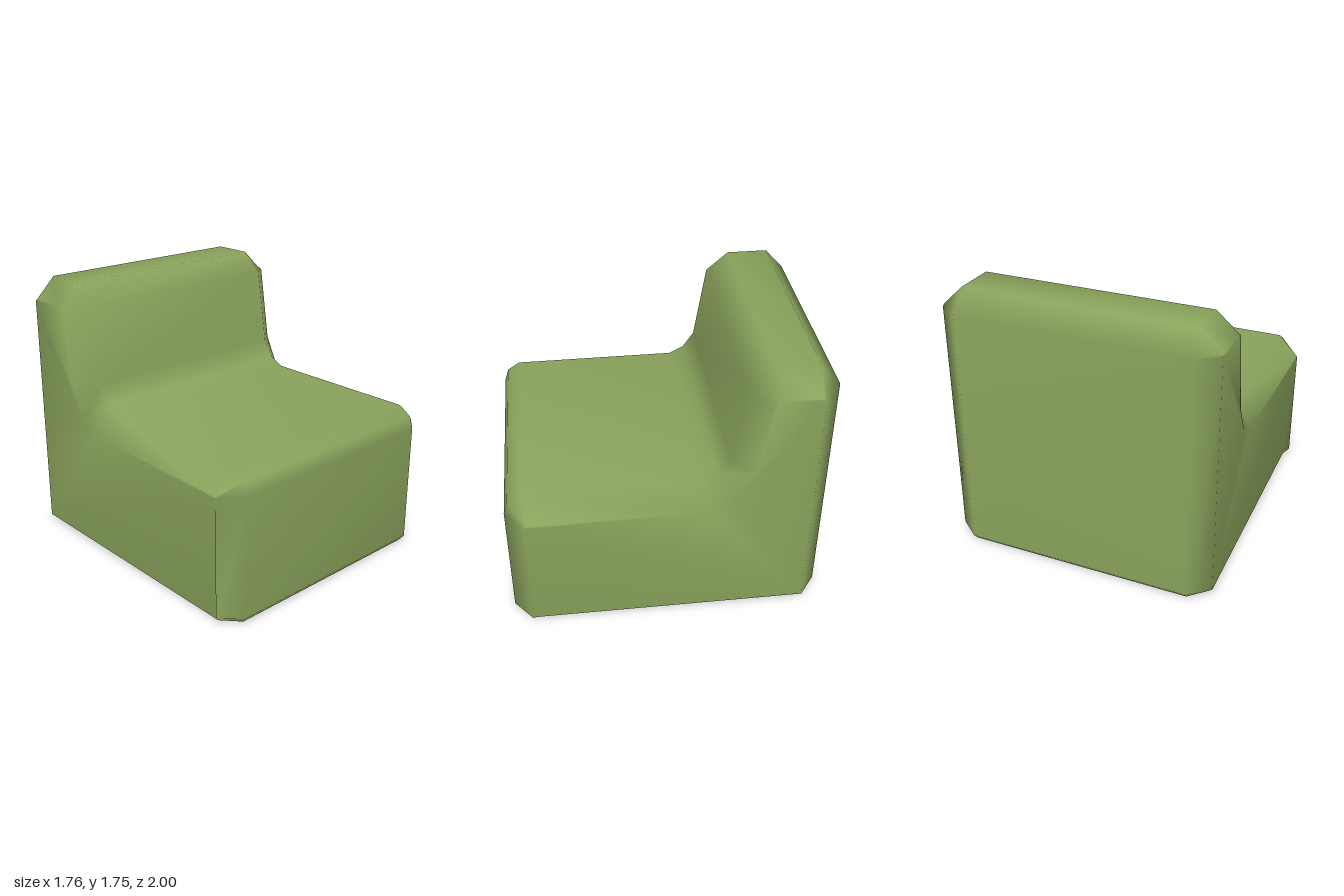
import * as THREE from 'three';

// Side profile as [z, y], from the front foot over the seat and backrest to the rear foot
const INNER = [
  [0.97, 0], [1, 0.04], [1, 0.83], [0.975, 0.91], [0.89, 0.965], [-0.21, 0.965], [-0.31, 1.015],
  [-0.385, 1.125], [-0.465, 1.63], [-0.61, 1.755], [-0.88, 1.755], [-1, 1.625], [-1, 0.04], [-0.965, 0],
];
// Matching points on the flat sides, pulled in to form the bevel
const OUTER = [
  [0.86, 0], [0.885, 0.04], [0.885, 0.82], [0.875, 0.828], [0.86, 0.832], [-0.25, 0.835], [-0.4, 0.9],
  [-0.5, 1.1], [-0.58, 1.61], [-0.62, 1.625], [-0.87, 1.625], [-0.89, 1.61], [-0.89, 0.04], [-0.86, 0],
];
const INNER_X = 0.74, OUTER_X = 0.88, FOOT_X = 0.84;

function bodyGeometry() {
  const n = INNER.length, positions = [], index = [];
  const columns = [[OUTER, -1], [INNER, -1], [INNER, 1], [OUTER, 1]];
  for (const [profile, side] of columns) {
    for (const [z, y] of profile) {
      const x = profile === INNER ? INNER_X : y === 0 ? FOOT_X : OUTER_X;
      positions.push(side * x, y, z);
    }
  }
  // Skin between neighbouring cross-sections
  for (let c = 0; c < 3; c++) {
    for (let k = 0; k < n - 1; k++) {
      const a = c * n + k, b = a + n;
      index.push(a, b, b + 1, a, b + 1, a + 1);
    }
  }
  // Flat sides
  const outline = OUTER.map(([z, y]) => new THREE.Vector2(z, y));
  for (const [i, j, k] of THREE.ShapeUtils.triangulateShape(outline, [])) {
    const area = THREE.ShapeUtils.area([outline[i], outline[j], outline[k]]);
    const [p, q] = area < 0 ? [j, k] : [k, j];
    index.push(3 * n + i, 3 * n + p, 3 * n + q, i, q, p);
  }
  const geometry = new THREE.BufferGeometry();
  geometry.setAttribute('position', new THREE.Float32BufferAttribute(positions, 3));
  geometry.setIndex(index);
  geometry.computeVertexNormals();
  return geometry;
}

function undersideGeometry() {
  const corners = [
    [INNER_X, -0.965], [FOOT_X, -0.86], [FOOT_X, 0.86], [INNER_X, 0.97],
    [-INNER_X, 0.97], [-FOOT_X, 0.86], [-FOOT_X, -0.86], [-INNER_X, -0.965],
  ];
  const shape = new THREE.Shape(corners.map(([x, z]) => new THREE.Vector2(x, z)));
  return new THREE.ShapeGeometry(shape).rotateX(Math.PI / 2);
}

export function createModel() {
  const fabric = new THREE.MeshStandardMaterial({ color: 0x8aa45c });
  fabric.name = 'green fabric';

  const chair = new THREE.Group();
  chair.name = 'armlessChair';
  const parts = { seatAndBackrest: bodyGeometry(), underside: undersideGeometry() };
  for (const [name, geometry] of Object.entries(parts)) {
    const mesh = new THREE.Mesh(geometry, fabric);
    mesh.name = name;
    chair.add(mesh);
  }
  return chair;
}
